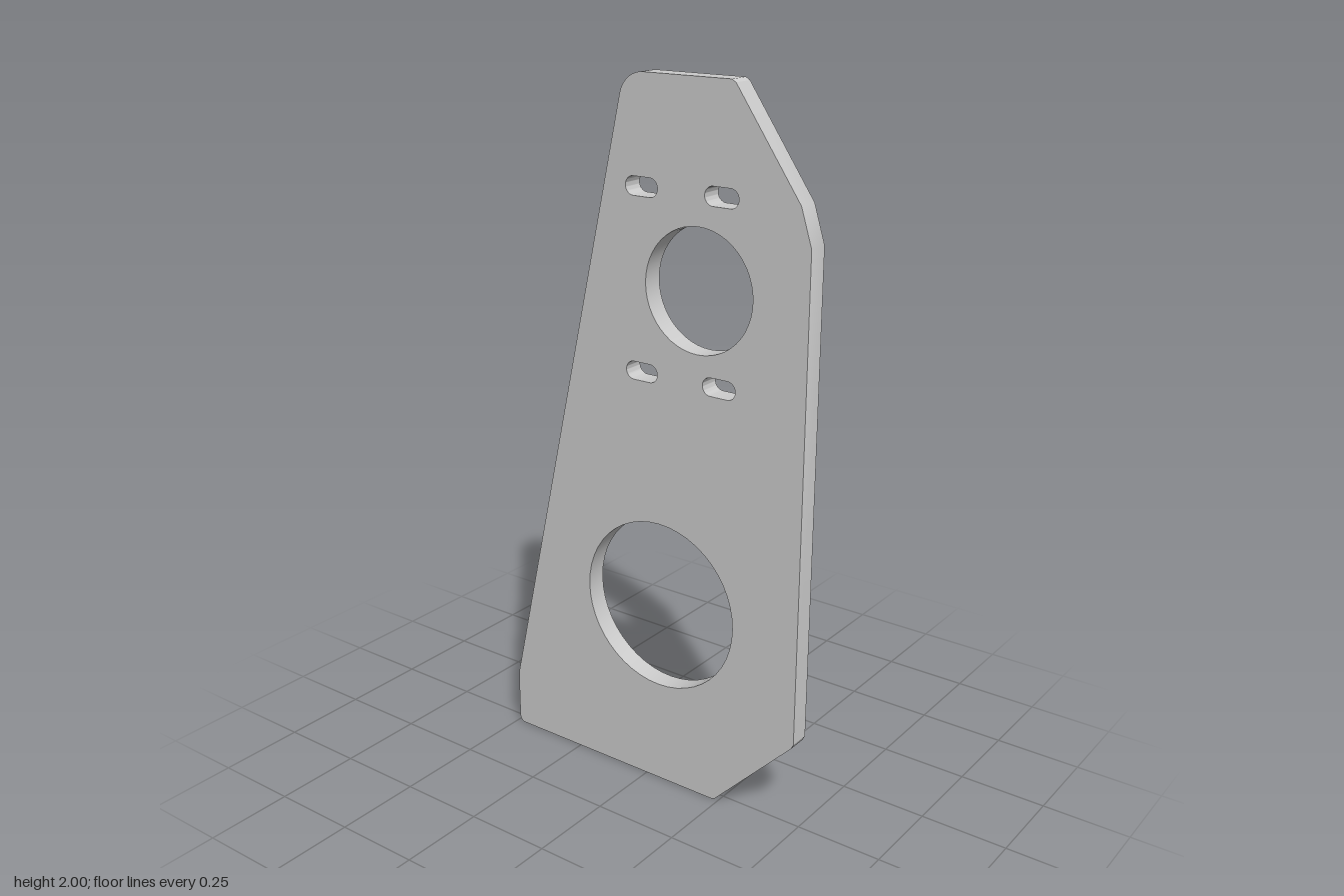
import * as THREE from 'three';
import { toCreasedNormals } from 'three/addons/utils/BufferGeometryUtils.js';

const THICKNESS = 0.06;

// Round hole in the plate
function roundHole(z, y, r) {
  return new THREE.Path().absarc(z, y, r, 0, Math.PI * 2, true);
}

// Horizontal slot with round ends
function slot(z, y, halfLength, r) {
  const d = halfLength - r;
  const path = new THREE.Path();
  path.absarc(z + d, y, r, -Math.PI / 2, Math.PI / 2, false);
  path.absarc(z - d, y, r, Math.PI / 2, Math.PI * 1.5, false);
  path.closePath();
  return path;
}

export function createModel() {
  const group = new THREE.Group();
  group.name = 'mountingPlate';

  // Side profile: shape x runs along the model's z, shape y is height
  const profile = new THREE.Shape();
  profile.moveTo(0.23, 0);
  profile.lineTo(0.24, 0.004);
  profile.lineTo(0.485, 0.256);
  profile.lineTo(0.492, 0.27);
  profile.lineTo(0.492, 1.62);
  profile.lineTo(0.46, 1.72);
  profile.lineTo(0.268, 1.993);
  profile.lineTo(0.256, 2);
  profile.absarc(-0.01, 1.925, 0.075, Math.PI / 2, THREE.MathUtils.degToRad(167), false);
  profile.lineTo(-0.489, 0.18);
  profile.lineTo(-0.492, 0.155);
  profile.absarc(-0.472, 0.02, 0.02, Math.PI, Math.PI * 1.5, false);
  profile.closePath();

  // Two large openings and the four slots around the upper one
  profile.holes.push(roundHole(0.164, 1.468, 0.166), roundHole(0.042, 0.552, 0.247));
  for (const z of [0.232, -0.015]) {
    for (const y of [1.715, 1.223]) profile.holes.push(slot(z, y, 0.051, 0.025));
  }

  const geometry = new THREE.ExtrudeGeometry(profile, {
    depth: THICKNESS, bevelEnabled: false, curveSegments: 24,
  });
  geometry.translate(0, 0, -THICKNESS / 2);
  geometry.rotateY(-Math.PI / 2);

  const plate = new THREE.Mesh(
    toCreasedNormals(geometry, Math.PI / 9),
    new THREE.MeshStandardMaterial({ color: 0xcccccc }),
  );
  plate.name = 'plate';
  group.add(plate);
  return group;
}
